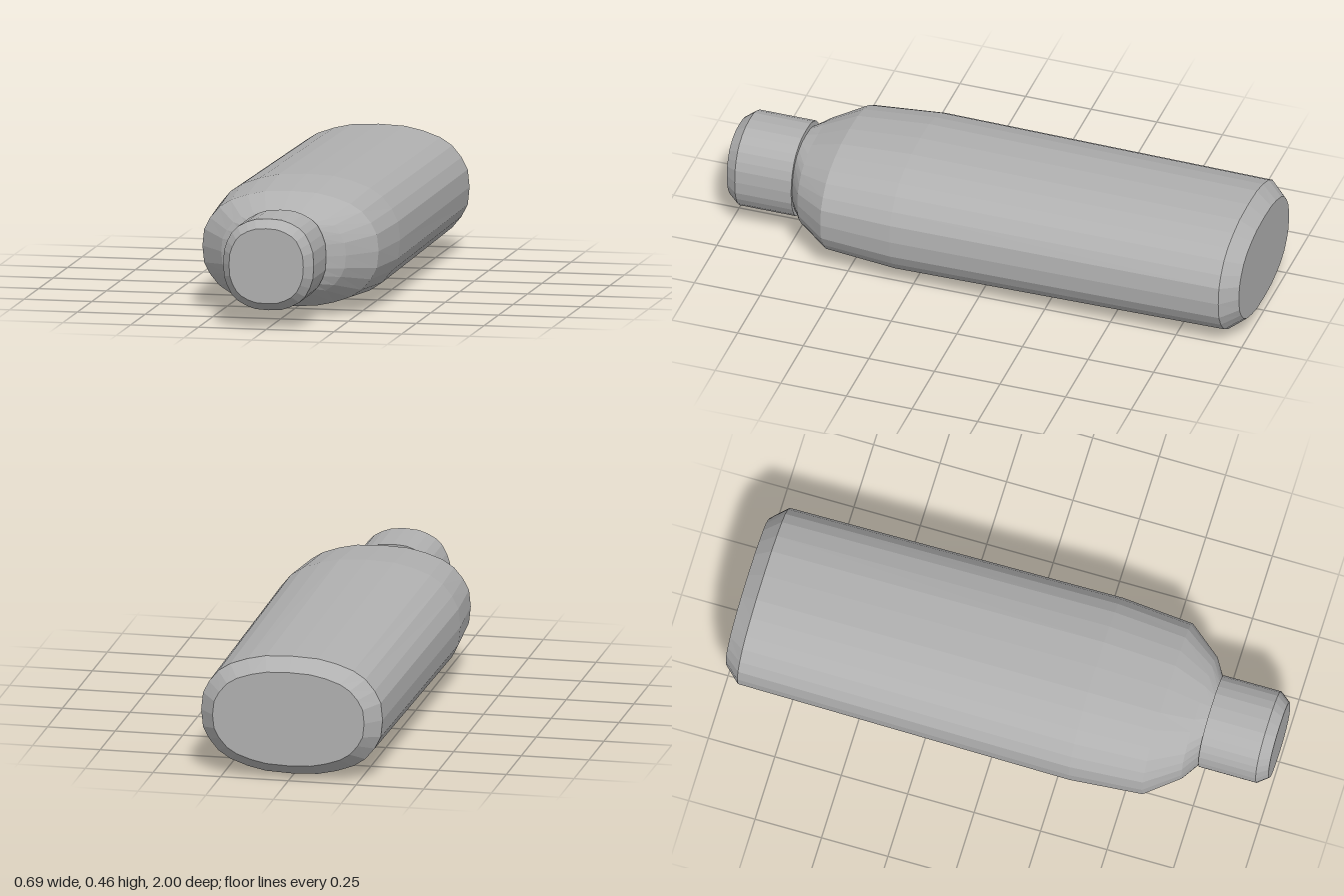
import * as THREE from 'three';

const CENTRE_Y = 0.232;

// One quarter of the rounded cross-section, from the side (+x) up to the top (+y)
const QUARTER = [[1, 0], [0.98, 0.29], [0.913, 0.49], [0.81, 0.68], [0.68, 0.81], [0.49, 0.913], [0.29, 0.98]];

// Full outline: the quarter turned four times
const OUTLINE = [];
for (let q = 0; q < 4; q++) {
  for (const [x, y] of QUARTER) {
    OUTLINE.push([[x, y], [-y, x], [-x, -y], [y, -x]][q]);
  }
}

// Closed loft along z through sections [z, halfWidth, halfHeight], with flat end caps
function loft(sections) {
  const n = OUTLINE.length;
  const rings = sections.map(([z, w, h]) => OUTLINE.map(([x, y]) => [x * w, CENTRE_Y + y * h, z]));
  const positions = [];
  const tri = (a, b, c) => positions.push(...a, ...b, ...c);
  const first = rings[0], last = rings[rings.length - 1];
  const back = [0, CENTRE_Y, sections[0][0]];
  const front = [0, CENTRE_Y, sections[sections.length - 1][0]];
  for (let j = 0; j < n; j++) {
    const k = (j + 1) % n;
    for (let i = 0; i < rings.length - 1; i++) {
      tri(rings[i][j], rings[i][k], rings[i + 1][k]);
      tri(rings[i][j], rings[i + 1][k], rings[i + 1][j]);
    }
    tri(back, first[k], first[j]);
    tri(front, last[j], last[k]);
  }
  const geometry = new THREE.BufferGeometry();
  geometry.setAttribute('position', new THREE.Float32BufferAttribute(positions, 3));
  geometry.computeVertexNormals(); // unshared vertices give flat facets
  return geometry;
}

export function createModel() {
  const group = new THREE.Group();
  group.name = 'flask';
  const grey = new THREE.MeshStandardMaterial({ color: 0xb0b0b0 });
  grey.name = 'grey';

  const add = (name, sections) => {
    const mesh = new THREE.Mesh(loft(sections), grey);
    mesh.name = name;
    group.add(mesh);
  };

  // Oval body: bevelled base, long slightly flaring wall, tapered shoulder
  add('body', [
    [-1, 0.28, 0.175],
    [-0.94, 0.335, 0.22],
    [0.31, 0.346, 0.231],
    [0.58, 0.325, 0.21],
    [0.7, 0.23, 0.16],
    [0.75, 0.148, 0.145],
  ]);

  // Cap with a bevelled front rim, a little wider than the throat behind it
  add('cap', [
    [0.745, 0.167, 0.167],
    [0.96, 0.167, 0.167],
    [1, 0.137, 0.137],
  ]);

  return group;
}
